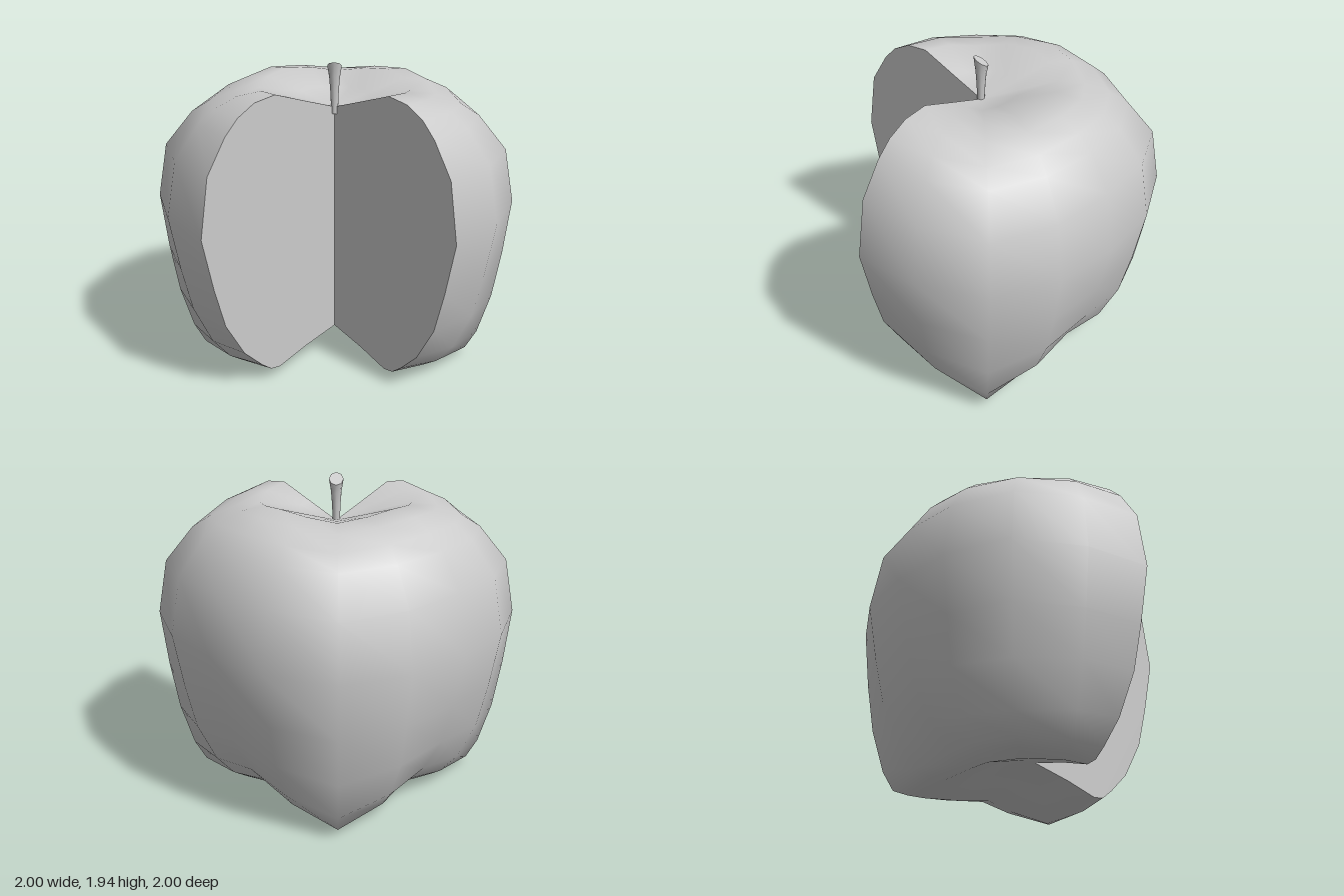
import * as THREE from 'three';
import { mergeVertices, toCreasedNormals } from 'three/addons/utils/BufferGeometryUtils.js';

// Matching profiles [radius, height], bottom to top: in the valleys and along the four lobes
const VALLEY = [[0, 0.19], [0.25, 0.13], [0.46, 0.065], [0.53, 0.075], [0.6, 0.13], [0.73, 0.26], [0.86, 0.49],
  [0.93, 0.75], [1, 1.08], [0.94, 1.44], [0.81, 1.64], [0.72, 1.73], [0.6, 1.795], [0.45, 1.815], [0.22, 1.735], [0, 1.66]];
const LOBE = [[0, 0.19], [0.33, 0.1], [0.66, 0], [0.76, 0.02], [0.85, 0.05], [0.92, 0.17], [1, 0.43],
  [1.05, 0.73], [1.09, 1.08], [1.03, 1.41], [0.86, 1.62], [0.75, 1.69], [0.6, 1.75], [0.45, 1.77], [0.22, 1.715], [0, 1.66]];

const material = new THREE.MeshStandardMaterial({ color: 0xcccccc });

function addMesh(group, geometry, name) {
  const mesh = new THREE.Mesh(geometry, material);
  mesh.name = name;
  group.add(mesh);
}

// Three quarters of a turned body, swelling from valley to lobe and back every quarter turn
function skinGeometry() {
  const segments = 12;
  const points = VALLEY.map(([r, y]) => new THREE.Vector2(r, y));
  const geometry = new THREE.LatheGeometry(points, segments, 0, Math.PI * 1.5);
  const position = geometry.attributes.position;
  for (let i = 0; i <= segments; i++) {
    const angle = (i / segments) * Math.PI * 1.5;
    const lobe = Math.pow(Math.abs(Math.sin(2 * angle)), 2.6);
    VALLEY.forEach(([r, y], j) => {
      const radius = THREE.MathUtils.lerp(r, LOBE[j][0], lobe);
      const height = THREE.MathUtils.lerp(y, LOBE[j][1], lobe);
      position.setXYZ(i * VALLEY.length + j, radius * Math.sin(angle), height, radius * Math.cos(angle));
    });
  }
  geometry.deleteAttribute('uv');
  geometry.deleteAttribute('normal');
  const merged = mergeVertices(geometry);
  merged.computeVertexNormals();
  return merged;
}

// Flat half section, extending to either side of the axis
function sectionGeometry(side) {
  return new THREE.ShapeGeometry(new THREE.Shape(VALLEY.map(([r, y]) => new THREE.Vector2(side * r, y))));
}

// Tapered stalk, flaring to a slanted tip
function stemGeometry() {
  const geometry = new THREE.CylinderGeometry(0.045, 0.02, 0.29, 8, 4);
  const position = geometry.attributes.position;
  for (let i = 0; i < position.count; i++) {
    const t = position.getY(i) / 0.29 + 0.5;
    const radius = (0.02 + 0.01 * t + 0.013 * t ** 4) / (0.02 + 0.025 * t);
    const x = position.getX(i) * radius;
    const z = position.getZ(i) * radius;
    position.setXYZ(i, x, 1.62 + 0.29 * t + (z - x) * 0.47 * t * t, z);
  }
  return toCreasedNormals(geometry, 0.9);
}

export function createModel() {
  const group = new THREE.Group();
  group.name = 'cutApple';
  addMesh(group, skinGeometry(), 'skin');
  addMesh(group, sectionGeometry(-1), 'frontCutFace');
  addMesh(group, sectionGeometry(1).rotateY(-Math.PI / 2), 'sideCutFace');
  addMesh(group, stemGeometry(), 'stem');
  return group;
}
